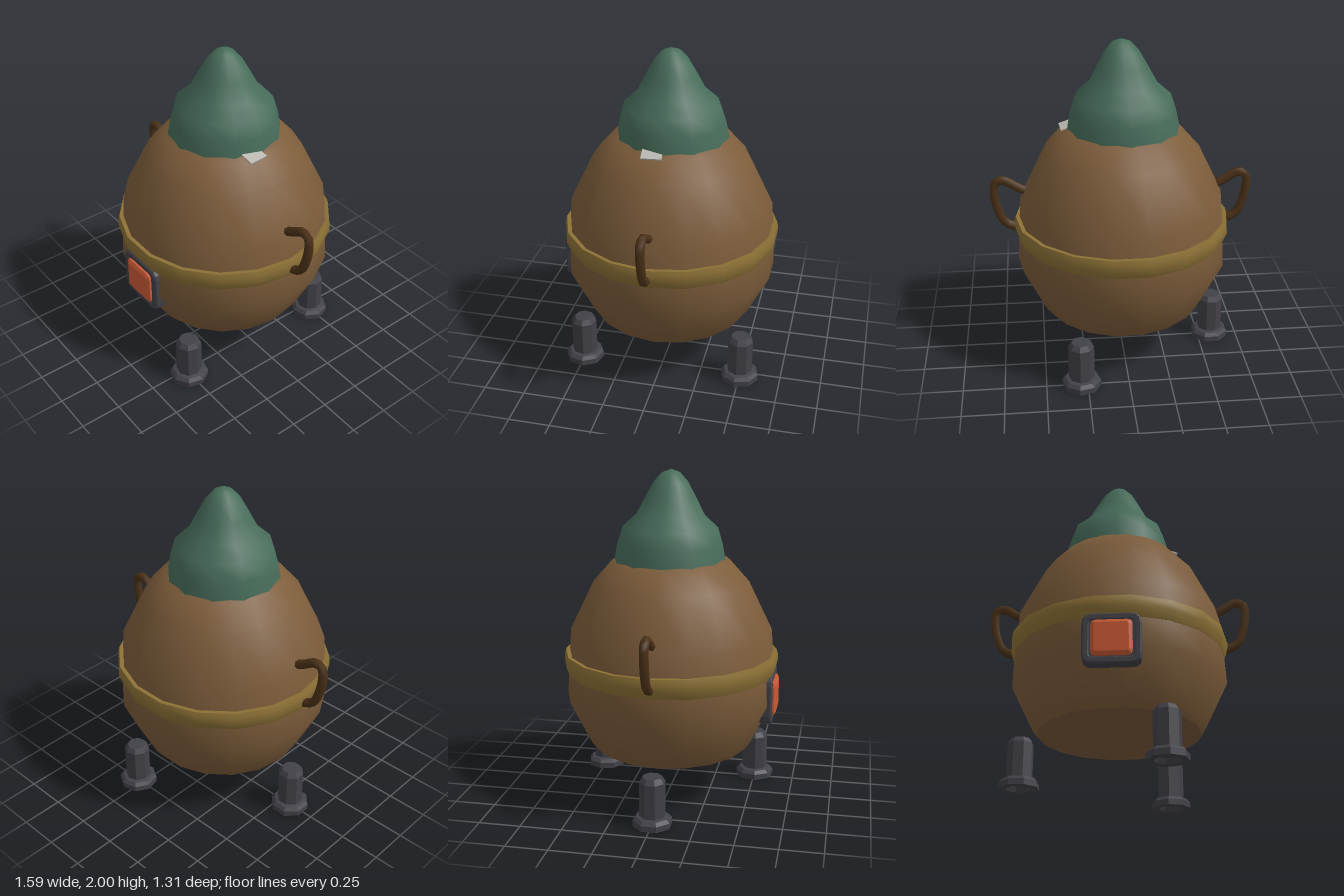
import * as THREE from 'three';
import { toCreasedNormals } from 'three/addons/utils/BufferGeometryUtils.js';

const mat = (name, color, extra = {}) => Object.assign(new THREE.MeshStandardMaterial({ color, ...extra }), { name });

// Turned shape from [radius, height] pairs, bottom to top
function turned(profile, sides, start, crease = 0.7) {
  const pts = profile.map(([r, y]) => new THREE.Vector2(r, y));
  return toCreasedNormals(new THREE.LatheGeometry(pts, sides, start), crease);
}

function roundedRect(target, w, h, c) {
  const x = w / 2, y = h / 2;
  target.moveTo(-x + c, -y);
  target.lineTo(x - c, -y);
  target.quadraticCurveTo(x, -y, x, -y + c);
  target.lineTo(x, y - c);
  target.quadraticCurveTo(x, y, x - c, y);
  target.lineTo(-x + c, y);
  target.quadraticCurveTo(-x, y, -x, y - c);
  target.lineTo(-x, -y + c);
  target.quadraticCurveTo(-x, -y, -x + c, -y);
  return target;
}

export function createModel() {
  const brown = mat('body brown', 0x7c5c3a);
  const green = mat('cap green', 0x476c5a, { side: THREE.DoubleSide });
  const brass = mat('belt brass', 0x8c7136);
  const iron = mat('dark iron', 0x414148);
  const wood = mat('handle brown', 0x4b3117);
  const orange = mat('button orange', 0xca5a35);
  const pale = mat('tag grey', 0xb9b7b0);

  const model = new THREE.Group();
  const add = (name, geometry, material, parent = model) => {
    const mesh = new THREE.Mesh(geometry, material);
    mesh.name = name;
    parent.add(mesh);
    return mesh;
  };
  const flat = Math.PI / 18; // puts a flat side of the 18-sided shapes to the front

  // Pot-bellied body
  add('body', turned([
    [0, 0.295], [0.3, 0.297], [0.48, 0.31], [0.51, 0.35], [0.642, 0.62],
    [0.632, 0.79], [0.615, 1.03], [0.47, 1.33], [0.355, 1.46], [0.2, 1.52], [0, 1.54],
  ], 18, flat), brown);

  // Belt around the middle
  add('belt', turned([
    [0.61, 0.785], [0.635, 0.785], [0.658, 0.84], [0.655, 0.88], [0.648, 0.905], [0.625, 0.905], [0.6, 0.89],
  ], 18, flat), brass);

  // Pointed cap, its rim slightly off centre
  const cap = turned([
    [0.27, 1.46], [0.338, 1.452], [0.318, 1.56], [0.287, 1.66], [0.205, 1.735],
    [0.15, 1.84], [0.1, 1.93], [0.055, 1.98], [0, 2],
  ], 12, 0.05, 0.75);
  const p = cap.attributes.position;
  for (let i = 0; i < p.count; i++) {
    const lean = (2 - p.getY(i)) / 0.55;
    p.setX(i, p.getX(i) - 0.012 * lean);
    p.setZ(i, p.getZ(i) - 0.008 * lean);
  }
  add('cap', cap, green);

  // Small tag showing under the cap rim
  const tag = add('tag', new THREE.BoxGeometry(0.08, 0.009, 0.12), pale);
  tag.position.set(0.326, 1.472, 0.04);
  tag.rotation.set(0, 0.08, -0.3);

  // Panel frame with a sloped inner rim, backing and raised button
  const panel = new THREE.Group();
  panel.name = 'panel';
  panel.position.set(0, 0.65, 0);
  model.add(panel);
  const frame = roundedRect(new THREE.Shape(), 0.31, 0.28, 0.05);
  frame.holes.push(roundedRect(new THREE.Path(), 0.26, 0.23, 0.03));
  add('panelFrame', new THREE.ExtrudeGeometry(frame, {
    depth: 0.06, bevelThickness: 0.01, bevelSize: 0.01, bevelSegments: 1, curveSegments: 3,
  }), iron, panel).position.z = 0.57;
  add('panelBack', new THREE.BoxGeometry(0.28, 0.25, 0.06), iron, panel).position.z = 0.604;
  add('button', new THREE.ExtrudeGeometry(roundedRect(new THREE.Shape(), 0.19, 0.17, 0.012), {
    depth: 0.065, bevelThickness: 0.012, bevelSize: 0.02, bevelSegments: 1, curveSegments: 2,
  }), orange, panel).position.z = 0.582;

  // Ear-shaped side handles
  const path = new THREE.CatmullRomCurve3([
    [0.56, 1.065], [0.63, 1.1], [0.715, 1.148], [0.76, 1.135], [0.772, 1.08],
    [0.75, 0.95], [0.71, 0.87], [0.63, 0.833],
  ].map(([x, y]) => new THREE.Vector3(x, y, 0)));
  const handle = new THREE.TubeGeometry(path, 18, 0.027, 6);
  ['leftHandle', 'rightHandle'].forEach((name, i) => {
    add(name, handle, wood).rotation.y = i * Math.PI;
  });

  // Three eight-sided legs on hollow feet
  const leg = turned([
    [0, 0.03], [0.06, 0.03], [0.075, 0], [0.118, 0], [0.118, 0.035], [0.1, 0.055],
    [0.078, 0.06], [0.078, 0.27], [0.058, 0.3], [0, 0.303],
  ], 8, Math.PI / 8, 0.5);
  for (let i = 0; i < 3; i++) {
    const a = Math.PI / 3 + i * Math.PI * 2 / 3;
    const mesh = add('leg', leg, iron);
    mesh.position.set(0.577 * Math.cos(a), 0, 0.577 * Math.sin(a));
    mesh.rotation.y = -a;
  }

  return model;
}
